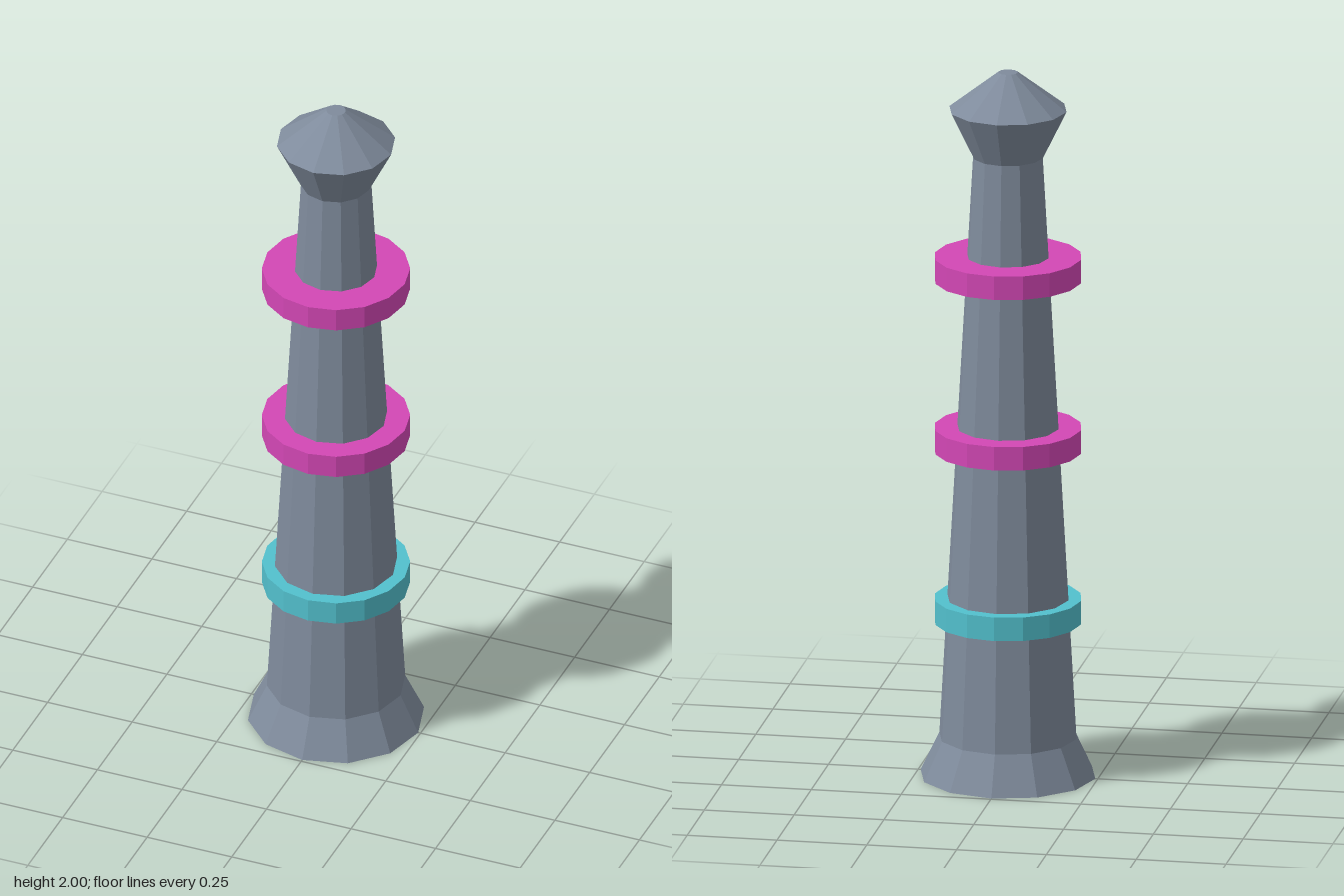
import * as THREE from 'three';

const flat = (name, color) => {
  const m = new THREE.MeshStandardMaterial({ color });
  m.name = name;
  return m;
};

export function createModel() {
  const steel = flat('steel grey', 0x7f8b9c);
  const pink = flat('magenta', 0xd347b5);
  const cyan = flat('turquoise', 0x52c0cd);
  const group = new THREE.Group();
  group.name = 'tower';

  // Faceted section between two heights; non-indexed so each face keeps its own normal
  const section = (name, material, y0, y1, r0, r1, sides, open = false) => {
    const geometry = new THREE.CylinderGeometry(r1, r0, y1 - y0, sides, 1, open).toNonIndexed();
    geometry.computeVertexNormals();
    const mesh = new THREE.Mesh(geometry, material);
    mesh.name = name;
    mesh.position.y = (y0 + y1) / 2;
    group.add(mesh);
  };

  // Twelve-sided column: flared foot, tapering shaft, flared head, pointed cap
  section('foot', steel, 0, 0.11, 0.243, 0.191, 12);
  section('shaft', steel, 0.11, 1.76, 0.191, 0.097, 12, true);
  section('head', steel, 1.76, 1.895, 0.097, 0.163, 12, true);
  section('cap', steel, 1.895, 2, 0.163, 0.027, 12);

  // Sixteen-sided collars
  [[0.437, cyan], [0.923, pink], [1.409, pink]].forEach(([y, material], i) =>
    section(`collar${i + 1}`, material, y, y + 0.067, 0.203, 0.203, 16));

  return group;
}
